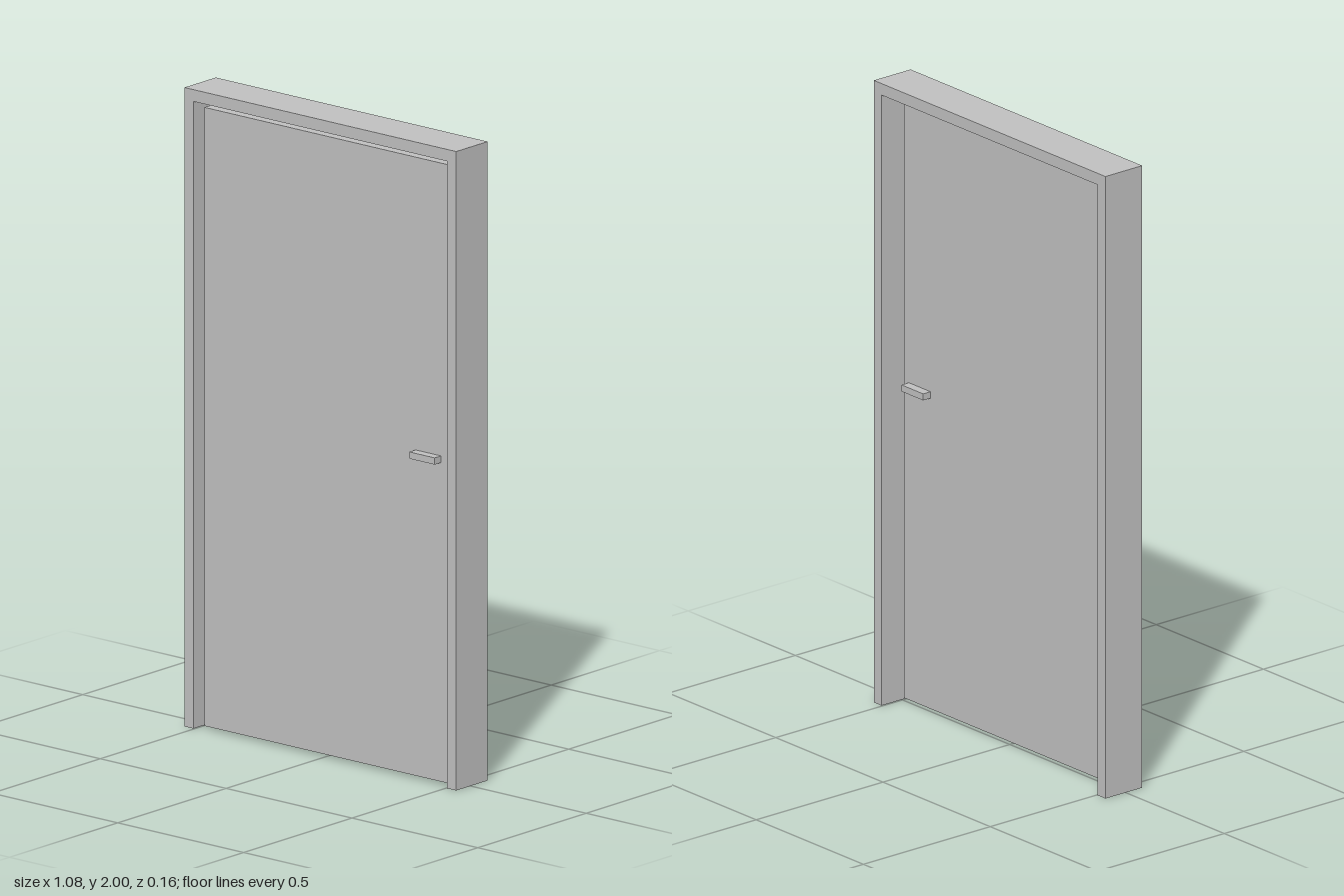
import * as THREE from 'three';

export function createModel() {
  const model = new THREE.Group();
  model.name = 'door';
  const grey = new THREE.MeshStandardMaterial({ color: 0xbfbfbf });
  grey.name = 'plain grey';

  function add(name, geometry, x = 0, y = 0, z = 0) {
    const mesh = new THREE.Mesh(geometry, grey);
    mesh.name = name;
    mesh.position.set(x, y, z);
    model.add(mesh);
    return mesh;
  }

  // Frame: two jambs and a header as one extruded outline
  const outer = 0.54, inner = 0.504, top = 2, headerBottom = 1.963;
  const frameBack = -0.0795, frameDepth = 0.145;
  const outline = new THREE.Shape([
    [-outer, 0], [-inner, 0], [-inner, headerBottom], [inner, headerBottom],
    [inner, 0], [outer, 0], [outer, top], [-outer, top],
  ].map(([x, y]) => new THREE.Vector2(x, y)));
  add('doorFrame', new THREE.ExtrudeGeometry(outline, { depth: frameDepth, bevelEnabled: false }), 0, 0, frameBack);

  // Door leaf, set near the front with a narrow gap all round
  const leafFront = 0.0505, leafBack = -0.0035;
  const leafCentre = (leafFront + leafBack) / 2;
  add('doorLeaf', new THREE.BoxGeometry(0.963, 1.936, leafFront - leafBack), 0.008, 0.979, leafCentre);

  // A lever handle on each face
  const reach = 0.029;
  const handle = new THREE.BoxGeometry(0.101, 0.021, reach);
  add('frontHandle', handle, 0.416, 1.02, leafFront + reach / 2);
  add('backHandle', handle, 0.416, 1.02, leafBack - reach / 2);

  return model;
}
